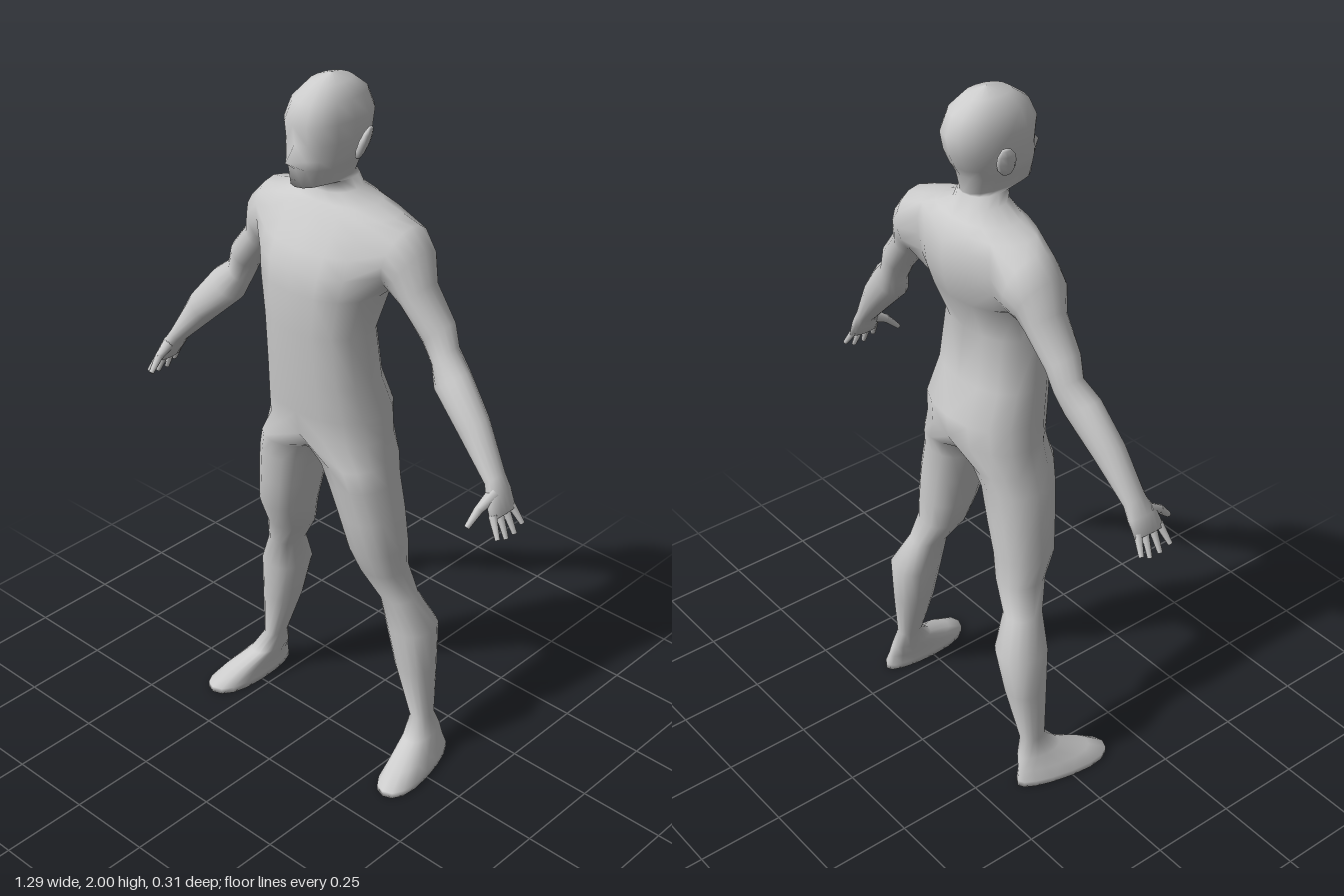
import * as THREE from 'three';
import { mergeVertices } from 'three/addons/utils/BufferGeometryUtils.js';

const N = 16;
const V = (x, y, z) => new THREE.Vector3(x, y, z);
const soft = (v, p) => Math.sign(v) * Math.pow(Math.abs(v), p);

// Head, neck and torso half-rings, crown to hips: y, half width, front z, back z, nose
const TRUNK = [
  [2.0, 0.001, -0.01, -0.012], [1.985, 0.045, 0.055, -0.07], [1.95, 0.073, 0.105, -0.115],
  [1.9, 0.087, 0.128, -0.135], [1.85, 0.085, 0.122, -0.125], [1.81, 0.079, 0.125, -0.107, 0.03],
  [1.785, 0.072, 0.122, -0.092], [1.738, 0.05, 0.122, -0.085], [1.735, 0.06, 0.045, -0.085],
  [1.705, 0.07, 0.038, -0.095], [1.68, 0.13, 0.05, -0.12],
  [1.66, 0.19, 0.065, -0.135], [1.62, 0.2, 0.09, -0.15], [1.57, 0.2, 0.12, -0.153],
  [1.52, 0.198, 0.142, -0.148], [1.46, 0.183, 0.15, -0.13],
  [1.35, 0.16, 0.148, -0.085], [1.2, 0.168, 0.135, -0.105], [1.1, 0.182, 0.125, -0.145],
  [1.03, 0.188, 0.115, -0.14],
];
const SHOULDER = 11; // first of the five rows around the arm opening

// Leg rings: x, y, z, half width, half depth, toe flare
const LEG = [
  [0.107, 0.96, -0.005, 0.093, 0.115], [0.125, 0.9, -0.002, 0.09, 0.103],
  [0.148, 0.8, -0.01, 0.084, 0.095], [0.168, 0.7, -0.016, 0.078, 0.084],
  [0.175, 0.62, -0.033, 0.066, 0.068], [0.215, 0.53, -0.055, 0.049, 0.055],
  [0.243, 0.43, -0.082, 0.069, 0.073], [0.261, 0.3, -0.081, 0.056, 0.059],
  [0.291, 0.14, -0.078, 0.029, 0.038], [0.303, 0.09, -0.065, 0.037, 0.068, 0.1],
  [0.32, 0.05, -0.025, 0.044, 0.116, 0.25], [0.329, 0.018, -0.002, 0.053, 0.148, 0.25],
  [0.329, 0, -0.002, 0.053, 0.148, 0.25],
];

// Arm rings: x, y, z, half thickness, half depth, downward angle in degrees
const ARM = [
  [0.217, 1.562, -0.045, 0.09, 0.088, 14], [0.252, 1.53, -0.04, 0.077, 0.077, 28],
  [0.272, 1.478, -0.04, 0.047, 0.062, 45], [0.34, 1.395, -0.04, 0.046, 0.05, 48],
  [0.363, 1.338, -0.04, 0.04, 0.043, 45], [0.4, 1.288, -0.025, 0.056, 0.047, 52],
  [0.487, 1.195, -0.01, 0.047, 0.042, 48], [0.572, 1.085, 0.005, 0.025, 0.034, 48],
  [0.592, 1.05, 0.013, 0.022, 0.045, 58], [0.614, 1.005, 0.02, 0.014, 0.049, 60],
];

function trunkRing([y, rx, zf, zb, nose = 0]) {
  return Array.from({ length: 9 }, (_, i) => {
    const t = (i / N) * Math.PI * 2;
    const z = (zf + zb) / 2 + soft(Math.cos(t), 0.9) * (zf - zb) / 2;
    return V(i % 8 ? soft(Math.sin(t), 0.9) * rx : 0, y, z + (i ? 0 : nose));
  });
}

function legRing([x, y, z, rx, rz, flare = 0]) {
  return Array.from({ length: N }, (_, i) => {
    const t = (i / N) * Math.PI * 2, c = soft(Math.cos(t), 0.9);
    return V(x + soft(Math.sin(t), 0.9) * rx * (1 + flare * c) + c * rz * flare * 0.35, y, z + c * rz);
  });
}

function armRing([x, y, z, ru, rz, deg]) {
  const a = THREE.MathUtils.degToRad(deg);
  return Array.from({ length: N }, (_, i) => {
    const t = (i / N) * Math.PI * 2, u = -Math.cos(t) * ru;
    return V(x + Math.sin(a) * u, y + Math.cos(a) * u, z + Math.sin(t) * rz);
  });
}

// One welded skin: half the body is lofted, then mirrored
function bodyGeometry() {
  const pos = [];
  const tri = (a, b, c) => {
    pos.push(a.x, a.y, a.z, b.x, b.y, b.z, c.x, c.y, c.z);
    pos.push(-a.x, a.y, a.z, -c.x, c.y, c.z, -b.x, b.y, b.z);
  };
  const quad = (a, b, c, d) => { tri(a, b, c); tri(a, c, d); };
  const limb = (rings) => {
    for (let r = 0; r + 1 < rings.length; r++)
      for (let i = 0; i < N; i++) {
        const j = (i + 1) % N;
        quad(rings[r][i], rings[r + 1][i], rings[r + 1][j], rings[r][j]);
      }
    const end = rings[rings.length - 1];
    const mid = end.reduce((s, p) => s.add(p), V(0, 0, 0)).divideScalar(N);
    end.forEach((p, i) => tri(p, mid, end[(i + 1) % N]));
  };

  // Trunk, leaving an opening for the arm
  const T = TRUNK.map(trunkRing);
  for (let r = 0; r + 1 < T.length; r++)
    for (let i = 0; i < 8; i++) {
      if (r >= SHOULDER && r < SHOULDER + 4 && i >= 2 && i < 6) continue;
      quad(T[r][i], T[r + 1][i], T[r + 1][i + 1], T[r][i + 1]);
    }

  // Arm grows from the opening: bottom, front, top, back
  const lo = SHOULDER + 4, hi = SHOULDER;
  const opening = [[lo, 4], [lo, 3], [lo, 2], [lo - 1, 2], [lo - 2, 2], [lo - 3, 2], [hi, 2], [hi, 3],
    [hi, 4], [hi, 5], [hi, 6], [hi + 1, 6], [hi + 2, 6], [hi + 3, 6], [lo, 6], [lo, 5]];
  limb([opening.map(([r, i]) => T[r][i]), ...ARM.map(armRing)]);

  // Leg grows from the hip half-ring closed by the crotch line
  const hip = [...T[T.length - 1]];
  const front = hip[0], back = hip[8];
  for (let i = 9; i < N; i++) {
    const t = (i - 8) / 8;
    hip.push(V(0, front.y - 0.085 * Math.pow(Math.sin(Math.PI * t), 0.6), THREE.MathUtils.lerp(back.z, front.z, t)));
  }
  limb([hip, ...LEG.map(legRing)]);

  const g = new THREE.BufferGeometry();
  g.setAttribute('position', new THREE.Float32BufferAttribute(pos, 3));
  const welded = mergeVertices(g, 1e-4);
  welded.computeVertexNormals();
  return welded;
}

export function createModel() {
  const model = new THREE.Group();
  model.name = 'figure';
  const skin = new THREE.MeshStandardMaterial({ color: 0xcccccc });
  skin.name = 'plain grey';
  const add = (name, geometry, parent = model) => {
    const m = new THREE.Mesh(geometry, skin);
    m.name = name;
    parent.add(m);
    return m;
  };
  add('body', bodyGeometry());

  // Tapered digit between two points
  const digit = (name, from, to, r, parent) => {
    const dir = to.clone().sub(from);
    const m = add(name, new THREE.CylinderGeometry(r * 0.6, r, dir.length(), 7), parent);
    m.position.copy(from).addScaledVector(dir, 0.5);
    m.quaternion.setFromUnitVectors(V(0, 1, 0), dir.normalize());
  };

  for (const s of [1, -1]) {
    const side = s > 0 ? 'left' : 'right';
    const hand = new THREE.Group();
    hand.name = side + 'Fingers';
    model.add(hand);
    // Root z, tip z, tip y
    [[0.056, 0.07, 0.962], [0.032, 0.036, 0.95], [0.007, 0.002, 0.95], [-0.016, -0.028, 0.966]].forEach(([z0, z1, y1], i) =>
      digit('finger' + (i + 1), V(s * 0.61, 1.015, z0), V(s * 0.64, y1, z1), 0.0115, hand));
    digit('thumbBase', V(s * 0.59, 1.06, 0.03), V(s * 0.583, 1.03, 0.085), 0.019, hand);
    digit('thumbTip', V(s * 0.584, 1.035, 0.078), V(s * 0.578, 0.995, 0.118), 0.0125, hand);

    // Ear, leaning outward at the top
    const ear = add(side + 'Ear', new THREE.SphereGeometry(1, 8, 6));
    ear.scale.set(0.012, 0.048, 0.026);
    ear.position.set(s * 0.096, 1.838, -0.025);
    ear.rotation.set(-0.15, s * 0.35, -s * 0.3);
  }
  return model;
}
